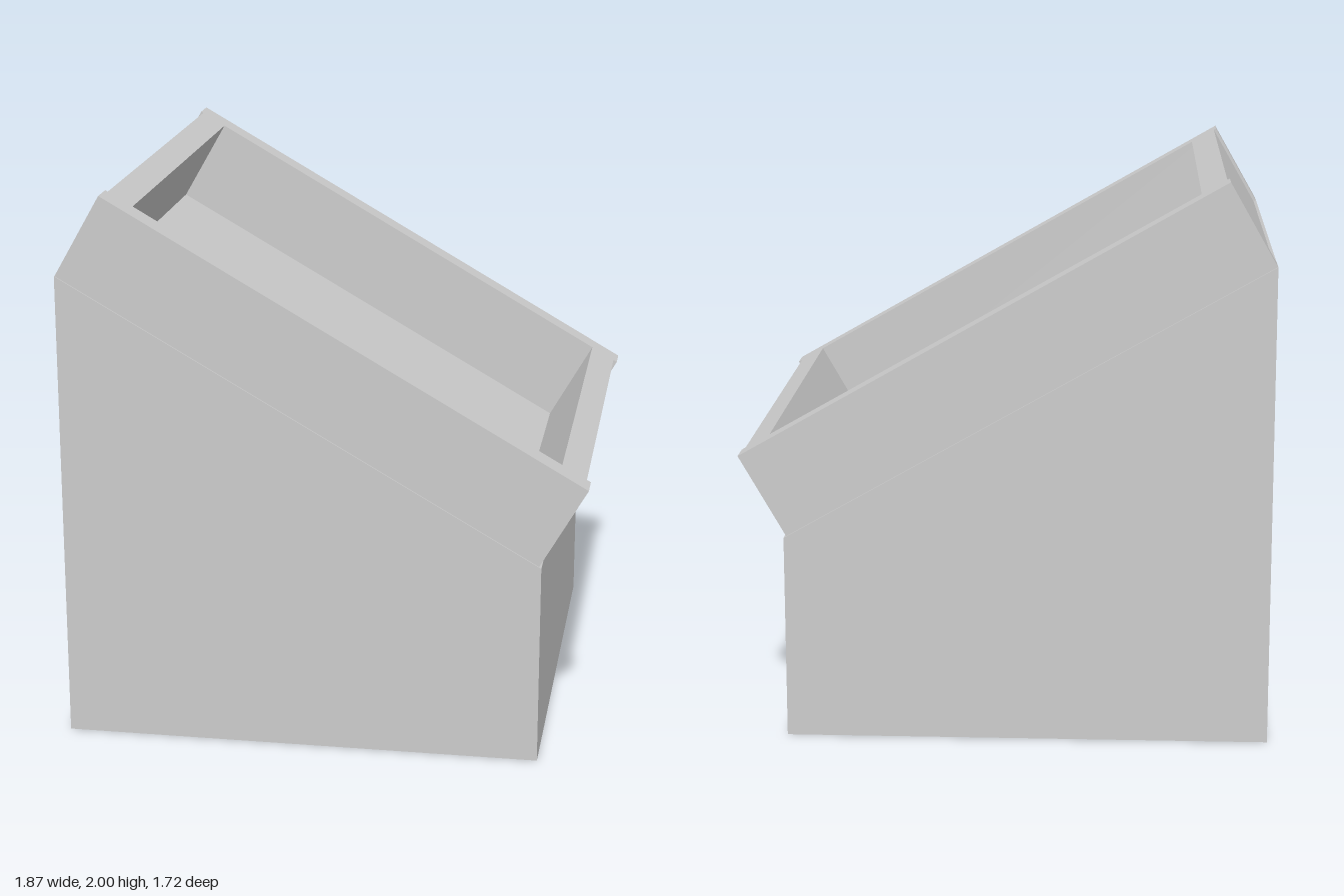
import * as THREE from 'three';

export function createModel() {
  const model = new THREE.Group();
  const material = new THREE.MeshStandardMaterial({ color: 0xcccccc, flatShading: true });

  function add(parent, name, geometry, x = 0, y = 0, z = 0) {
    const mesh = new THREE.Mesh(geometry, material);
    mesh.name = name;
    mesh.position.set(x, y, z);
    parent.add(mesh);
  }

  // Solid base with a sloping top
  const width = 1.72;
  const profile = new THREE.Shape([
    new THREE.Vector2(-0.937, 0),
    new THREE.Vector2(0.778, 0),
    new THREE.Vector2(0.778, 0.732),
    new THREE.Vector2(-0.937, 1.712),
  ]);
  const baseGeometry = new THREE.ExtrudeGeometry(profile, { depth: width, bevelEnabled: false });
  add(model, 'base', baseGeometry, 0, 0, -width / 2);

  // Raised frame, tilted to lie on the slope
  const length = 1.965, height = 0.335, thick = 0.096, railZ = 0.805;
  const frame = new THREE.Group();
  frame.name = 'frame';
  frame.position.set(-0.001, 1.368, 0.002);
  frame.rotation.z = -Math.atan(0.572);
  model.add(frame);

  // Long side rails
  for (const side of [-1, 1]) {
    add(frame, side > 0 ? 'frontRail' : 'backRail',
      new THREE.BoxGeometry(length, height, thick), 0, 0, side * railZ);
  }

  // End rails fitted between them, set in slightly from the ends
  const endWidth = 2 * railZ - thick;
  for (const [name, end, inset] of [['upperRail', -1, 0.01], ['lowerRail', 1, 0.016]]) {
    add(frame, name, new THREE.BoxGeometry(0.1, height, endWidth),
      end * (length / 2 - inset - 0.05), 0, 0);
  }

  return model;
}
